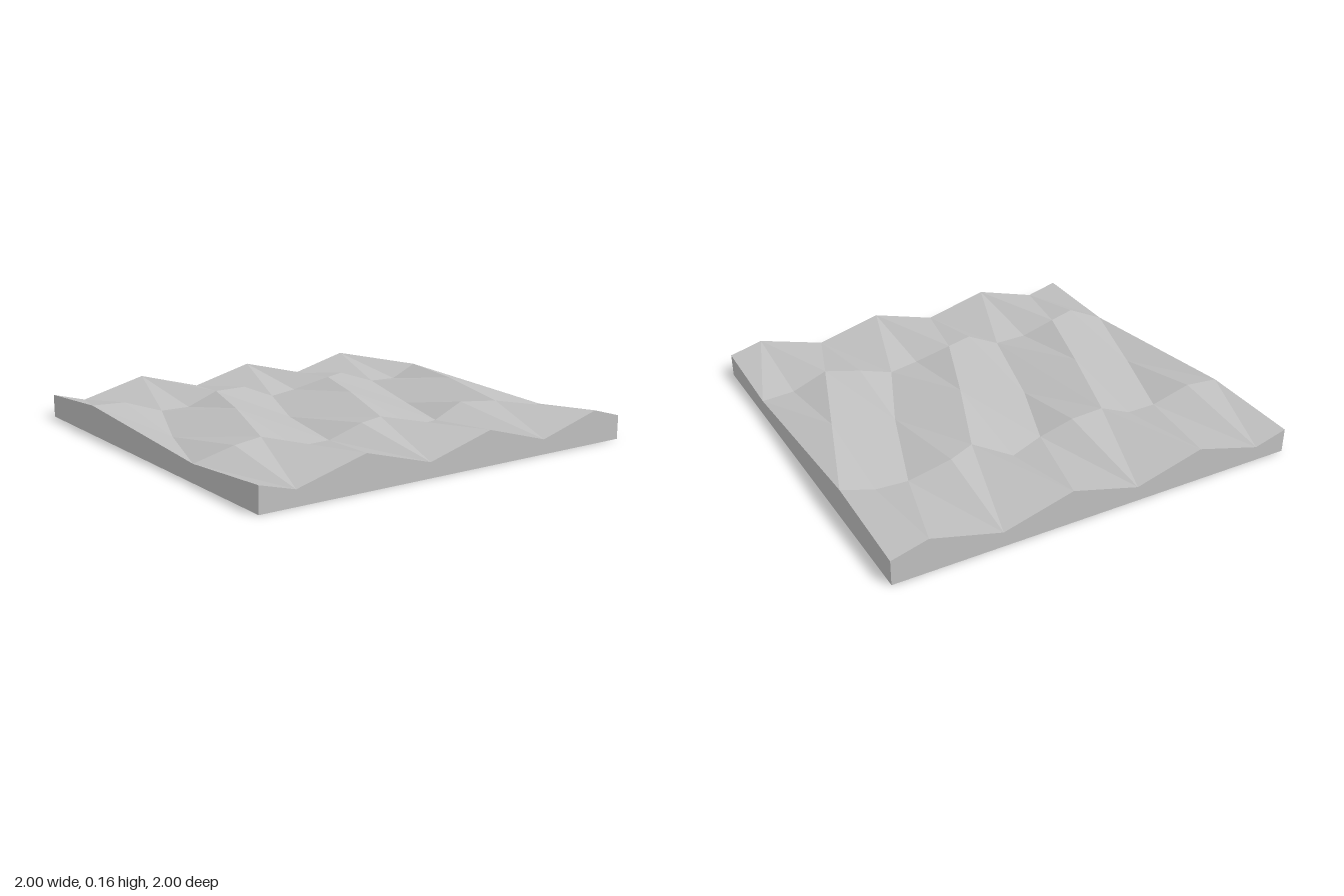
import * as THREE from 'three';

const COLS = 12, ROWS = 4;

// Small sideways shifts [dx, dz] of inner vertices, keyed by column,row
const NUDGE = {
  '1,1': [-0.01, 0.02], '2,1': [0.015, 0.033], '3,1': [0, 0.03], '4,1': [-0.01, 0.035],
  '5,1': [0, 0.02], '6,1': [-0.01, 0.045], '7,1': [0.015, -0.035], '8,1': [0.015, 0.05],
  '9,1': [-0.015, -0.015], '10,1': [0.015, 0.01], '11,1': [0, 0.02],
  '5,2': [-0.01, -0.035], '6,2': [0, -0.03], '8,2': [0, 0.02], '9,2': [0, 0.04], '10,2': [0, 0.03],
  '1,3': [0, 0.05], '2,3': [-0.003, -0.01], '3,3': [0, 0.01], '4,3': [0.01, 0], '5,3': [0, 0.03],
  '6,3': [-0.02, -0.02], '7,3': [-0.01, 0.015], '8,3': [-0.012, -0.03], '9,3': [0, -0.05],
  '10,3': [-0.01, 0.03], '11,3': [0, 0.02],
};

// Grid vertex: a wave along x whose crests swing sideways along z
function vertex(i, j) {
  const x = -1 + (2 * i) / COLS, z = -1 + (2 * j) / ROWS;
  const swing = -0.25 * Math.sin(Math.PI * z);
  const y = 0.115 + 0.045 * Math.cos(3 * Math.PI * (x + 0.5 - swing));
  const [dx, dz] = NUDGE[`${i},${j}`] || [0, 0];
  return new THREE.Vector3(x + dx, y, z + dz);
}

function facetGeometry(triangles) {
  const geometry = new THREE.BufferGeometry().setFromPoints(triangles);
  geometry.computeVertexNormals();
  return geometry;
}

// Faceted top with alternating diagonals
function surfaceGeometry() {
  const tris = [];
  for (let j = 0; j < ROWS; j++) {
    for (let i = 0; i < COLS; i++) {
      const a = vertex(i, j), b = vertex(i, j + 1), c = vertex(i + 1, j + 1), d = vertex(i + 1, j);
      if ((i + j) % 2) tris.push(a, b, c, a, c, d);
      else tris.push(a, b, d, b, c, d);
    }
  }
  return facetGeometry(tris);
}

// Side wall below a run of rim vertices, ordered left to right seen from outside
function wallGeometry(rim) {
  const tris = [];
  const foot = (p) => new THREE.Vector3(p.x, 0, p.z);
  for (let k = 0; k < rim.length - 1; k++) {
    const p = rim[k], q = rim[k + 1];
    tris.push(foot(p), foot(q), q, foot(p), q, p);
  }
  return facetGeometry(tris);
}

export function createModel() {
  const group = new THREE.Group();
  group.name = 'wavePanel';
  const grey = new THREE.MeshStandardMaterial({ color: 0xc0c0c0, flatShading: true });
  grey.name = 'plaster grey';

  const add = (name, geometry) => {
    const mesh = new THREE.Mesh(geometry, grey);
    mesh.name = name;
    group.add(mesh);
    return mesh;
  };

  add('facetedSurface', surfaceGeometry());

  const alongX = (j) => Array.from({ length: COLS + 1 }, (_, i) => vertex(i, j));
  const alongZ = (i) => Array.from({ length: ROWS + 1 }, (_, j) => vertex(i, j));
  add('frontWall', wallGeometry(alongX(ROWS)));
  add('backWall', wallGeometry(alongX(0).reverse()));
  add('leftWall', wallGeometry(alongZ(COLS).reverse()));
  add('rightWall', wallGeometry(alongZ(0)));

  // Flat underside
  add('underside', new THREE.PlaneGeometry(2, 2).rotateX(Math.PI / 2));

  return group;
}
